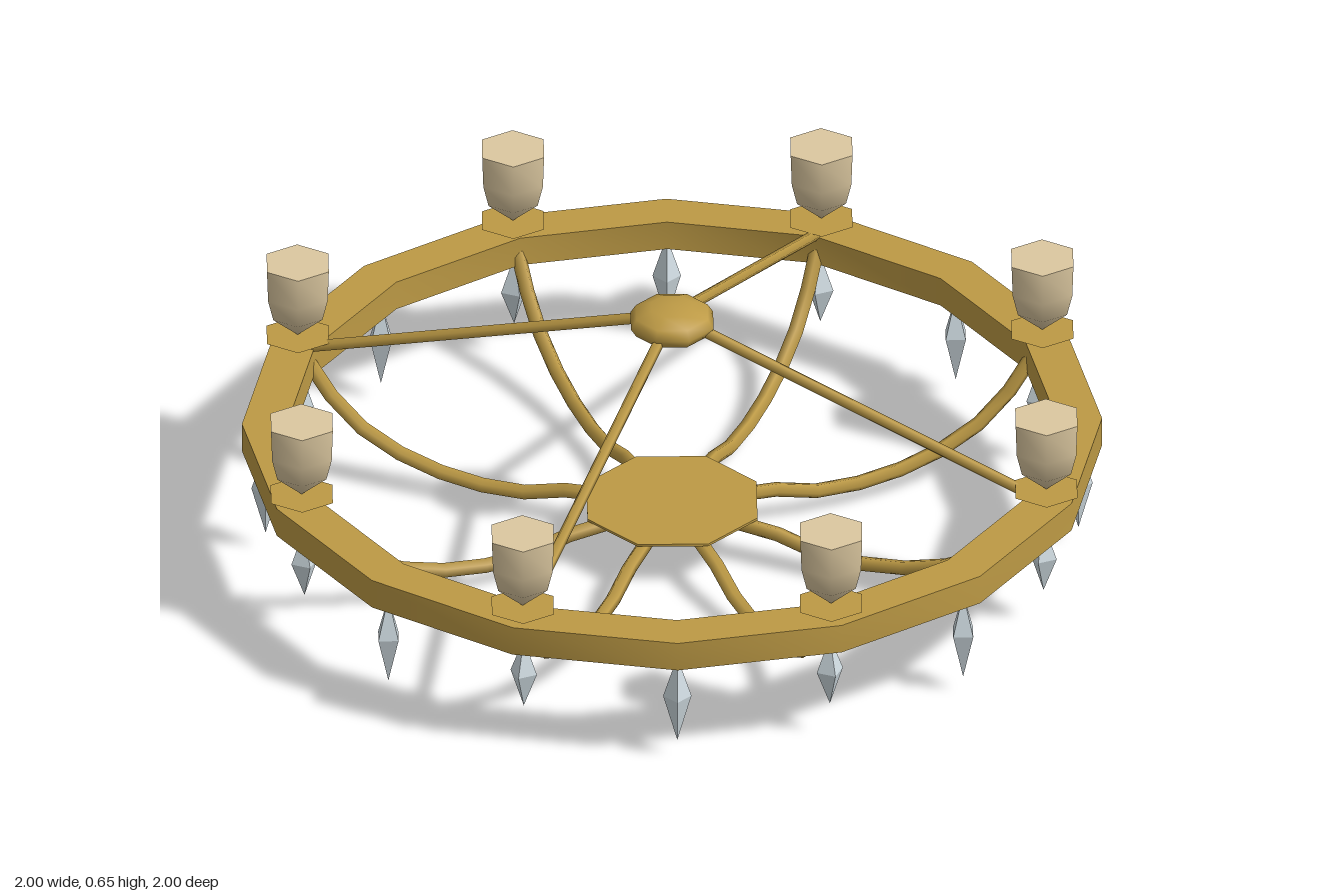
import * as THREE from 'three';
import { toCreasedNormals } from 'three/addons/utils/BufferGeometryUtils.js';

const v2 = (p) => new THREE.Vector2(p[0], p[1]);

// Turned solid with sharp rims and smooth sides
function turned(profile, sides, crease) {
  return toCreasedNormals(new THREE.LatheGeometry(profile.map(v2), sides), crease);
}

export function createModel() {
  const model = new THREE.Group();
  const gold = new THREE.MeshStandardMaterial({ color: 0xbd9a45 });
  gold.name = 'gold';
  const shade = new THREE.MeshStandardMaterial({ color: 0xdcc8a0 });
  shade.name = 'creamGlass';
  const crystal = new THREE.MeshStandardMaterial({ color: 0xd0dce2 });
  crystal.name = 'crystal';

  function add(name, geometry, material, parent = model) {
    const mesh = new THREE.Mesh(geometry, material);
    mesh.name = name;
    parent.add(mesh);
    return mesh;
  }

  // Outer ring, sixteen sides
  add('ring', turned([[0.895, 0.262], [1, 0.262], [1, 0.335], [0.895, 0.335], [0.895, 0.262]], 16, 0.7), gold);

  // Upper hub
  const hub = add('topHub', new THREE.SphereGeometry(0.104, 8, 6), gold);
  hub.scale.y = 0.43;
  hub.position.y = 0.608;
  hub.rotation.y = Math.PI / 8;

  // Lower hub: octagonal plate tapering to a point
  const lower = add('bottomHub', turned([[0, 0], [0.08, 0.065], [0.214, 0.114], [0.214, 0.12], [0, 0.12]], 8, 0.85), gold);
  lower.rotation.y = Math.PI / 8;

  // Curved arm, drawn along +x
  const armCurve = new THREE.CatmullRomCurve3(
    [[0.915, 0.3], [0.885, 0.255], [0.8, 0.16], [0.635, 0.08], [0.4, 0.055], [0.23, 0.095], [0.16, 0.097]]
      .map((p) => new THREE.Vector3(p[0], p[1], 0)));
  const armGeo = new THREE.TubeGeometry(armCurve, 8, 0.018, 5);

  // Straight rod from upper hub to ring
  const rodStart = new THREE.Vector3(0.04, 0.61, 0);
  const rodEnd = new THREE.Vector3(0.935, 0.325, 0);
  const rodGeo = new THREE.TubeGeometry(new THREE.LineCurve3(rodStart, rodEnd), 1, 0.014, 5);

  // Lamp parts, six sides
  const cupGeo = turned([[0, 0.36], [0.066, 0.42], [0.08, 0.475], [0.083, 0.555], [0, 0.555]], 6, 1.1);
  const dishGeo = turned([[0, 0.315], [0.083, 0.36], [0, 0.36]], 6, 0.85);

  // Hanging crystals, four sides
  const drop = (top, mid, bottom) => turned([[0, bottom], [0.033, mid], [0, top]], 4, 0.1);
  const largeDrop = drop(0.265, 0.16, 0.04);
  const smallDrop = drop(0.265, 0.175, 0.085);

  for (let i = 0; i < 16; i++) {
    const angle = (i * Math.PI) / 8;
    const spoke = new THREE.Group();
    spoke.name = 'spoke' + i;
    spoke.rotation.y = -angle;
    model.add(spoke);
    const odd = i % 2 === 1;
    add('crystalDrop', odd ? smallDrop : largeDrop, crystal, spoke).position.x = odd ? 0.93 : 0.945;
    if (!odd) continue;

    add('arm', armGeo, gold, spoke);
    if (i % 4 === 1) add('rod', rodGeo, gold, spoke);

    // All lamps keep the same heading
    const lamp = new THREE.Group();
    lamp.name = 'lamp';
    lamp.position.set(0.937 * Math.cos(angle), 0, 0.937 * Math.sin(angle));
    add('dish', dishGeo, gold, lamp);
    add('cup', cupGeo, shade, lamp);
    model.add(lamp);
  }
  return model;
}
